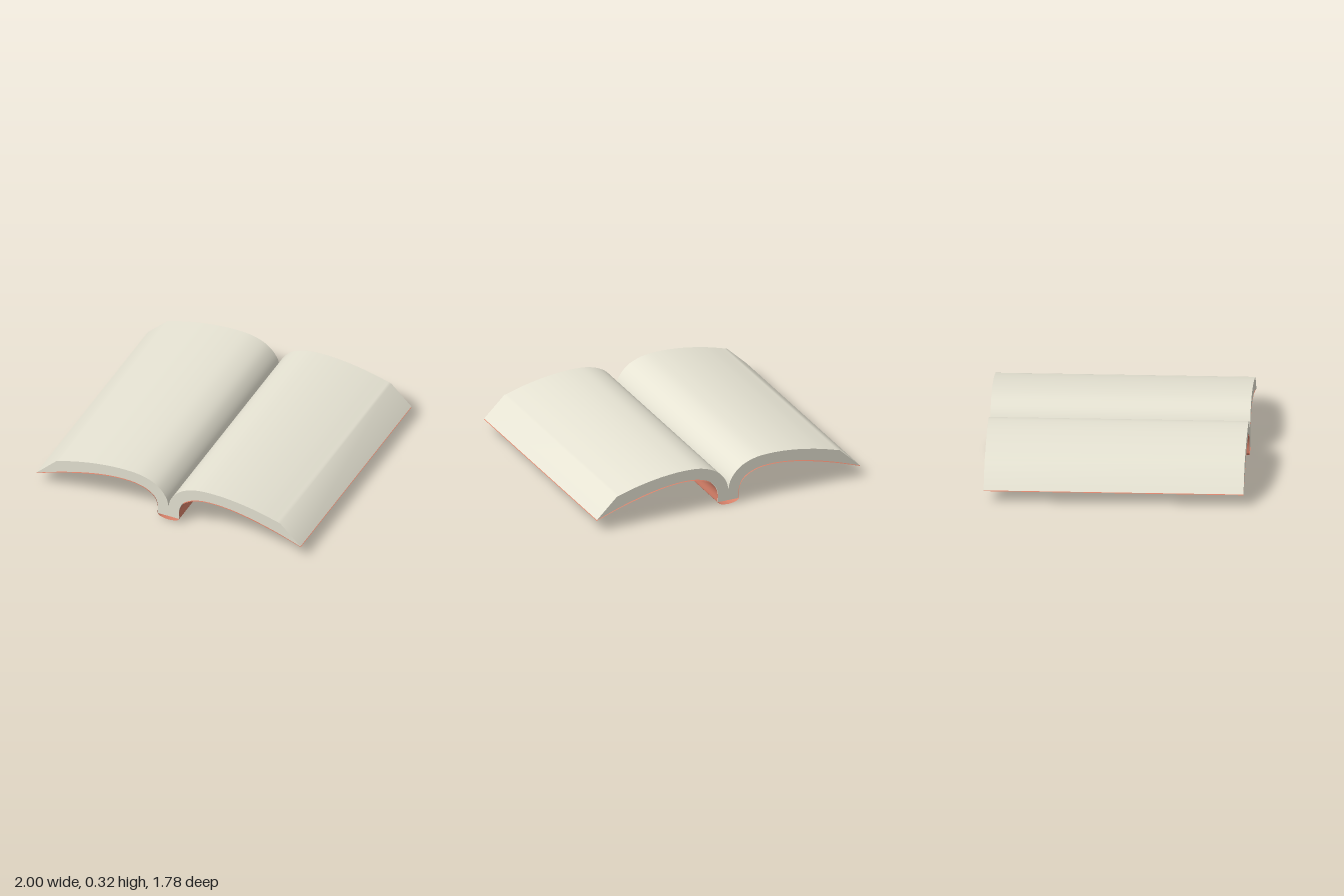
import * as THREE from 'three';
import { toCreasedNormals } from 'three/addons/utils/BufferGeometryUtils.js';

const HALF_DEPTH = 0.89;

// Smooth 2D curve through [x, y] points
function smooth(points, n) {
  const curve = new THREE.CatmullRomCurve3(points.map(([x, y]) => new THREE.Vector3(x, y, 0)), false, 'centripetal');
  return curve.getSpacedPoints(n).map(p => new THREE.Vector2(p.x, p.y));
}

// Mirror a right-hand profile that runs from the middle outwards
const mirror = pts => pts.map(p => new THREE.Vector2(-p.x, p.y));

export function createModel() {
  const group = new THREE.Group();
  group.name = 'openBook';
  const paper = new THREE.MeshStandardMaterial({ color: 0xe6e3d3 });
  const leather = new THREE.MeshStandardMaterial({ color: 0xd9826a, side: THREE.DoubleSide });

  // Page block: arched top, slanted fore-edge, underside curving into the spine
  const top = smooth([[0, 0.11], [0.012, 0.165], [0.045, 0.22], [0.1, 0.27], [0.2, 0.309],
    [0.33, 0.32], [0.5, 0.309], [0.68, 0.277], [0.845, 0.232]], 48);
  const under = smooth([[0.998, 0.085], [0.8, 0.154], [0.6, 0.208], [0.45, 0.234], [0.32, 0.241],
    [0.23, 0.232], [0.15, 0.203], [0.1, 0.16], [0.078, 0.1]], 48);
  const half = [...top, ...under, new THREE.Vector2(0.078, 0.03)];
  const outline = new THREE.Shape([...half, ...mirror(half.slice(1)).reverse()]);
  const pagesGeometry = new THREE.ExtrudeGeometry(outline, { depth: 2 * HALF_DEPTH, bevelEnabled: false });
  pagesGeometry.translate(0, 0, -HALF_DEPTH);
  const pages = new THREE.Mesh(toCreasedNormals(pagesGeometry, 0.5), paper);
  pages.name = 'pages';
  group.add(pages);

  // Cover: one thin sheet wrapping both boards and the hollow rounded spine
  const spine = smooth([[0, 0], [0.035, 0.004], [0.065, 0.013], [0.08, 0.028]], 10);
  const board = smooth([[0.082, 0.035], [0.082, 0.1], [0.104, 0.156], [0.153, 0.197], [0.23, 0.225],
    [0.32, 0.234], [0.45, 0.227], [0.6, 0.2], [0.8, 0.147], [1, 0.08]], 56);
  const side = [...spine, ...board];
  const profile = [...mirror(side.slice(1)).reverse(), ...side];
  const coverGeometry = new THREE.PlaneGeometry(1, 1, profile.length - 1, 1);
  const position = coverGeometry.attributes.position;
  for (let i = 0; i < position.count; i++) {
    const p = profile[i % profile.length];
    position.setXYZ(i, p.x, p.y, i < profile.length ? HALF_DEPTH : -HALF_DEPTH);
  }
  coverGeometry.computeVertexNormals();
  const cover = new THREE.Mesh(coverGeometry, leather);
  cover.name = 'cover';
  group.add(cover);

  return group;
}
